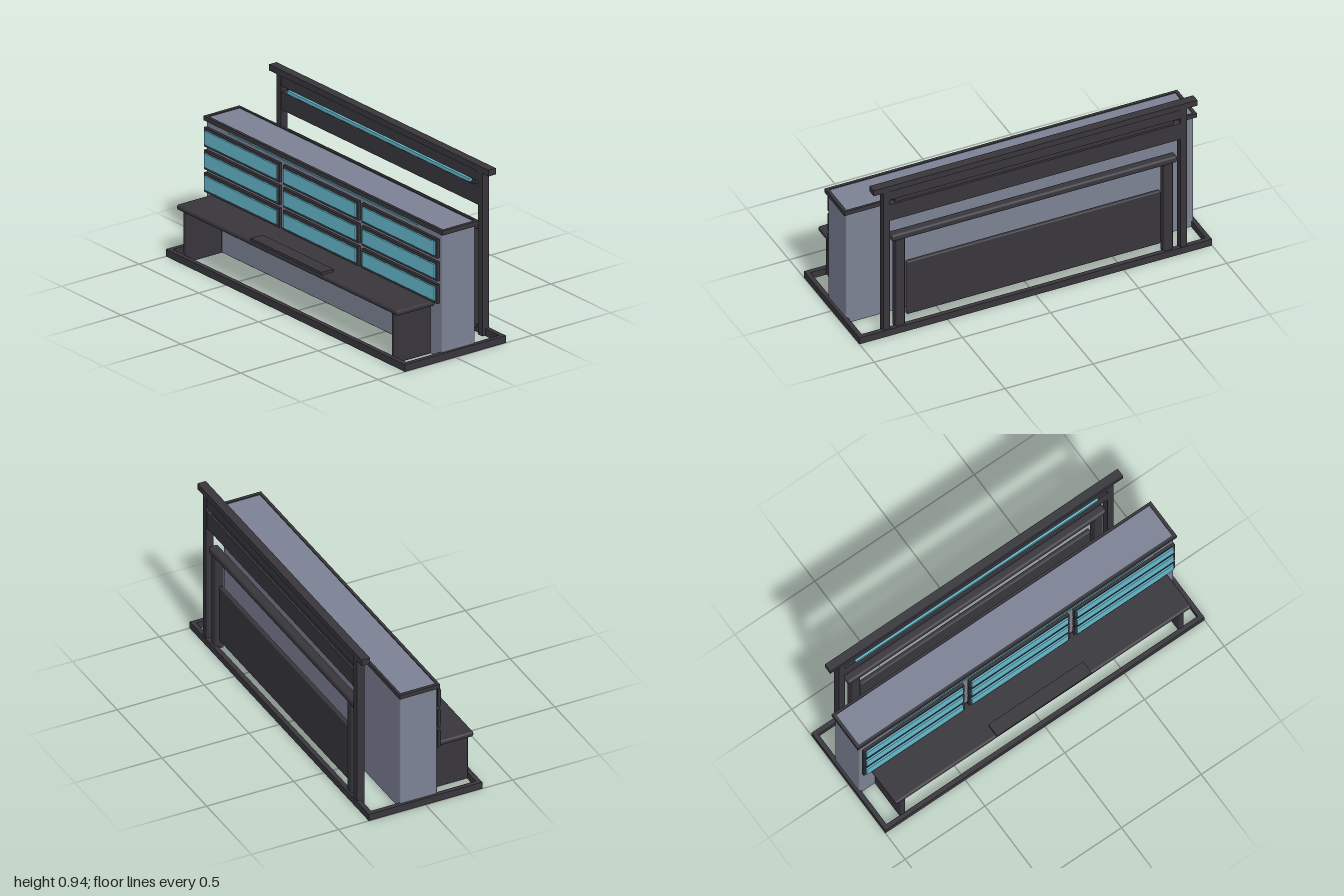
import * as THREE from 'three';
import { RoundedBoxGeometry } from 'three/addons/geometries/RoundedBoxGeometry.js';

export function createModel() {
  const group = new THREE.Group();
  const mat = (name, color) => Object.assign(new THREE.MeshStandardMaterial({ color }), { name });
  const dark = mat('charcoal', 0x38363c);
  const grey = mat('slateGrey', 0x7c8294);
  const cyan = mat('cyan', 0x66b9cd);

  // box given by its limits on each axis; r > 0 rounds the edges
  function box(name, material, [x0, x1], [y0, y1], [z0, z1], r = 0) {
    const size = [x1 - x0, y1 - y0, z1 - z0];
    const geo = r ? new RoundedBoxGeometry(...size, 3, r) : new THREE.BoxGeometry(...size);
    const mesh = new THREE.Mesh(geo, material);
    mesh.position.set((x0 + x1) / 2, (y0 + y1) / 2, (z0 + z1) / 2);
    mesh.name = name;
    group.add(mesh);
  }
  const pair = (name, material, [x0, x1], y, z, r) => {
    box(name + 'Left', material, [x0, x1], y, z, r);
    box(name + 'Right', material, [-x1, -x0], y, z, r);
  };

  // open floor frame
  box('baseFront', dark, [-1, 1], [0, 0.04], [0.3, 0.326]);
  box('baseBack', dark, [-1, 1], [0, 0.04], [-0.326, -0.3]);
  pair('baseEnd', dark, [0.975, 1], [0, 0.04], [-0.3, 0.3]);

  // cabinet body with a dark rim around its top
  box('cabinet', grey, [-0.985, 0.985], [0.003, 0.71], [-0.138, 0.075], 0.006);
  box('rimFront', dark, [-1, 1], [0.69, 0.715], [0.067, 0.083]);
  box('rimBack', dark, [-1, 1], [0.69, 0.715], [-0.148, -0.135]);
  pair('rimEnd', dark, [0.982, 1], [0.69, 0.715], [-0.135, 0.067]);
  box('cabinetLightStrip', cyan, [-0.79, 0.79], [0.684, 0.691], [0.08, 0.088]);

  // three by three grid of panels
  for (const x of [-0.66, 0, 0.66]) {
    for (const y of [0.363, 0.487, 0.612]) {
      box('panelFrame', dark, [x - 0.315, x + 0.315], [y - 0.053, y + 0.053], [0.085, 0.1]);
      box('panelFace', cyan, [x - 0.302, x + 0.302], [y - 0.038, y + 0.038], [0.1, 0.109]);
    }
  }

  // desk
  box('deskTop', dark, [-0.926, 0.926], [0.278, 0.308], [0.073, 0.317], 0.012);
  pair('deskLeg', dark, [0.857, 0.888], [0.003, 0.28], [0.073, 0.303], 0.006);
  box('deskTray', dark, [-0.297, 0.297], [0.307, 0.323], [0.245, 0.322]);

  // tall rear gantry with a slotted sign board and light
  pair('gantryPost', dark, [0.824, 0.861], [0.003, 0.905], [-0.322, -0.28]);
  box('gantryBeam', dark, [-0.918, 0.918], [0.902, 0.936], [-0.324, -0.276]);
  box('boardUpper', dark, [-0.86, 0.86], [0.845, 0.905], [-0.318, -0.282]);
  box('boardLower', dark, [-0.86, 0.86], [0.715, 0.815], [-0.318, -0.282]);
  box('slotBack', dark, [-0.79, 0.79], [0.813, 0.847], [-0.306, -0.292]);
  box('gantryLight', cyan, [-0.76, 0.76], [0.823, 0.842], [-0.292, -0.271]);

  // low rear stand with rounded rail and back panel
  pair('standPost', dark, [0.735, 0.785], [0.02, 0.58], [-0.315, -0.266], 0.006);
  box('standRail', dark, [-0.81, 0.81], [0.573, 0.614], [-0.318, -0.265], 0.014);
  box('standPanel', dark, [-0.72, 0.72], [0.085, 0.415], [-0.305, -0.28], 0.008);

  return group;
}
